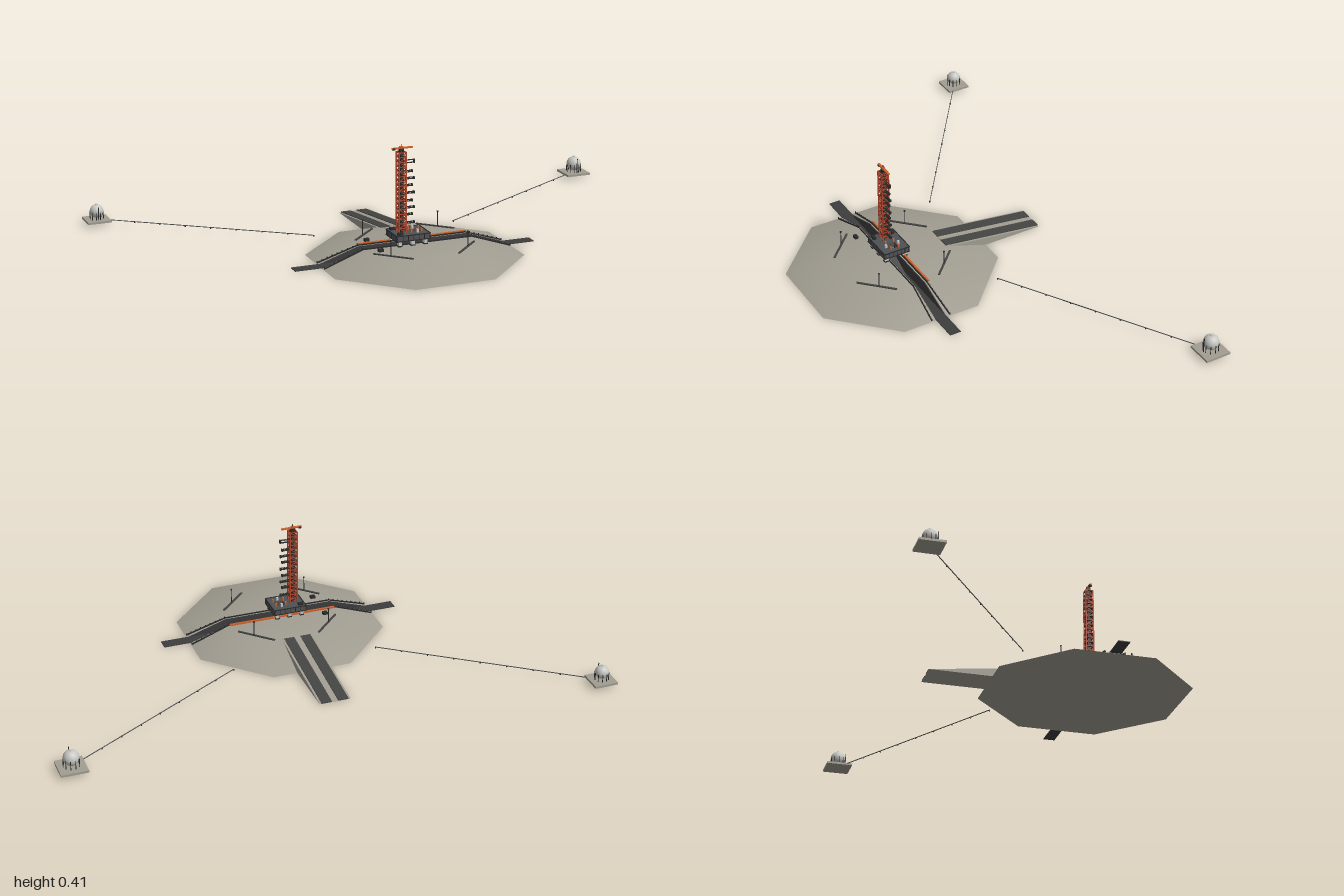
import * as THREE from 'three';
import { ConvexGeometry } from 'three/addons/geometries/ConvexGeometry.js';
import { toCreasedNormals } from 'three/addons/utils/BufferGeometryUtils.js';

const mat = (name, color) => Object.assign(new THREE.MeshStandardMaterial({ color }), { name });
const V = (x, y, z) => new THREE.Vector3(x, y, z);
const points2 = list => list.map(p => new THREE.Vector2(...p));

export function createModel() {
  const concrete = mat('concrete', 0xa19d91);
  const track = mat('dark track', 0x444443);
  const trenchMat = mat('trench grey', 0x3d3d3d);
  const steel = mat('platform steel', 0x4f5254);
  const black = mat('dark steel', 0x2a2a2b);
  const red = mat('tower red', 0xb0452a);
  const orange = mat('crane orange', 0xd0622c);
  const pale = mat('pale grey', 0xc6c6c2);

  const model = new THREE.Group();
  model.name = 'launchPad';
  const group = (name, parent = model) => {
    const g = new THREE.Group();
    g.name = name;
    parent.add(g);
    return g;
  };
  const add = (parent, name, geo, m, x = 0, y = 0, z = 0) => {
    const mesh = new THREE.Mesh(geo, m);
    mesh.name = name;
    mesh.position.set(x, y, z);
    parent.add(mesh);
    return mesh;
  };
  const box = (p, name, m, w, h, d, x, y, z) => add(p, name, new THREE.BoxGeometry(w, h, d), m, x, y, z);
  // square beam running from a to b, oriented in its parent's frame
  const beam = (p, name, m, a, b, w, h = w) => {
    const mesh = new THREE.Mesh(new THREE.BoxGeometry(w, h, a.distanceTo(b)), m);
    mesh.name = name;
    mesh.position.copy(a).add(b).multiplyScalar(0.5);
    mesh.lookAt(b);
    p.add(mesh);
  };

  // Octagonal mound, split by the flame trench; local origin at its centre
  const CX = -0.027, CZ = 0.238, H = 0.05, R = 0.355, RT = 0.205, T = 0.021;
  const pad = group('pad');
  pad.position.set(CX, 0, CZ);
  for (const s of [1, -1]) {
    const pts = [];
    for (const [r, y] of [[R, 0], [RT, H]]) {
      const c = r * 0.414;
      for (const k of [1, -1]) pts.push(V(k * r, y, s * T), V(k * r, y, s * c), V(k * c, y, s * r));
    }
    add(pad, 'moundHalf', toCreasedNormals(new ConvexGeometry(pts), 0.6), concrete);

    // trench lining and flared curbs with railings
    const wall = new THREE.Shape(points2([[-R, 0.001], [R, 0.001], [RT, H], [-RT, H]]));
    add(pad, 'trenchWall', new THREE.ExtrudeGeometry(wall, { depth: 0.003, bevelEnabled: false }), trenchMat,
      0, 0, s > 0 ? T - 0.003 : -T);
    for (const k of [1, -1]) {
      const top = V(k * RT, H + 0.001, s * 0.027), foot = V(k * (R - 0.004), 0.003, s * 0.036);
      beam(pad, 'wingCurb', black, top, foot, 0.004, 0.006);
      for (let i = 0; i <= 8; i++) {
        const q = top.clone().lerp(foot, i / 8);
        box(pad, 'railPost', black, 0.003, 0.007, 0.003, q.x, q.y + 0.003, q.z);
      }
    }
    box(pad, 'edgeCurb', black, 2 * RT, 0.005, 0.003, 0, H + 0.002, s * 0.027);
  }
  box(pad, 'trenchBase', concrete, 2 * R, 0.001, 2 * T, 0, 0.0005, 0);
  box(pad, 'trenchFloor', trenchMat, 0.905, 0.003, 2 * T, 0, 0.0025, 0);
  box(pad, 'servicePipe', orange, 0.41, 0.006, 0.007, 0, H + 0.004, -0.033);
  // flame deflector wedge in the trench
  const wedge = new THREE.Shape(points2([[-0.09, 0], [0.09, 0], [0.006, 0.04], [-0.006, 0.04]]));
  add(pad, 'flameDeflector', new THREE.ExtrudeGeometry(wedge, { depth: 0.024, bevelEnabled: false }), trenchMat, -0.003, 0.003, -0.012);

  // diagonal drains and light masts
  for (const sx of [1, -1]) for (const sz of [1, -1]) {
    const drain = box(pad, 'drain', track, 0.148, 0.004, 0.007, sx * 0.137, H + 0.002, sz * 0.137);
    drain.rotation.y = sx * sz * Math.PI / 4;
    add(pad, 'lightMast', new THREE.CylinderGeometry(0.0015, 0.002, 0.058, 6), black, sx * 0.144, H + 0.029, sz * 0.131);
    box(pad, 'mastLamp', black, 0.005, 0.004, 0.006, sx * 0.144, H + 0.057, sz * 0.131);
  }
  for (const s of [1, -1]) box(pad, 'equipmentBox', black, 0.018, 0.01, 0.014, -0.155, H + 0.005, s * 0.066);

  // Vehicle ramp with two dark tracks
  const ramp = group('ramp');
  const z0 = 0.045, z1 = -0.345, rx = -0.027;
  const rp = [];
  for (const x of [rx - 0.058, rx + 0.058]) rp.push(V(x, H + 0.001, z0), V(x, 0, z0), V(x, 0, z1));
  add(ramp, 'rampBody', new ConvexGeometry(rp), concrete);
  for (const s of [1, -1]) {
    const x = rx + s * 0.031;
    beam(ramp, 'rampTrack', track, V(x, H + 0.0015, z0), V(x, 0.0015, z1), 0.038, 0.003);
  }

  // Launch platform on legs, with an exhaust opening
  const platform = group('launchPlatform');
  platform.position.set(-0.052, 0, 0.238);
  const deck = new THREE.Shape(points2([[-0.062, -0.05], [0.062, -0.05], [0.062, 0.05], [-0.062, 0.05]]));
  deck.holes.push(new THREE.Path(points2([[0.008, -0.017], [0.008, 0.017], [0.042, 0.017], [0.042, -0.017]])));
  const deckGeo = new THREE.ExtrudeGeometry(deck, { depth: 0.02, bevelEnabled: false });
  deckGeo.rotateX(-Math.PI / 2);
  add(platform, 'deck', deckGeo, steel, 0, 0.07, 0);
  for (const s of [1, -1]) {
    for (const y of [0.071, 0.0905]) {
      box(platform, 'deckTrim', black, 0.126, 0.003, 0.003, 0, y, s * 0.0505);
      box(platform, 'deckTrim', black, 0.003, 0.003, 0.104, s * 0.0625, y, 0);
    }
    for (let i = 0; i < 7; i++) {
      box(platform, 'deckRib', black, 0.002, 0.02, 0.002, -0.06 + i * 0.02, 0.08, s * 0.0505);
      box(platform, 'deckRib', black, 0.002, 0.02, 0.002, s * 0.0625, 0.08, -0.048 + i * 0.016);
    }
    for (const x of [-0.048, 0, 0.048]) {
      box(platform, 'platformLeg', pale, 0.012, 0.022, 0.016, x, 0.06, s * 0.037);
      box(platform, 'legFoot', black, 0.016, 0.004, 0.018, x, 0.052, s * 0.037);
    }
    for (const x of [0.006, 0.044]) box(platform, 'holdDownPost', orange, 0.006, 0.012, 0.006, x, 0.096, s * 0.016);
    box(platform, 'deckHut', black, 0.02, 0.009, 0.012, -0.045, 0.094, s * 0.036);
    box(platform, 'serviceMast', pale, 0.008, 0.012, 0.008, 0.025, 0.096, s * 0.025);
  }

  // Lattice tower
  const tower = group('umbilicalTower');
  tower.position.set(-0.079, 0, 0.24);
  const base = 0.09, levels = 17, step = 0.017, a = 0.0135, topY = base + levels * step;
  const corners = [[a, a], [-a, a], [-a, -a], [a, -a]];
  box(tower, 'liftShaft', black, 0.012, topY - base, 0.012, 0, (base + topY) / 2, 0);
  corners.forEach(([x, z], i) => {
    const [nx, nz] = corners[(i + 1) % 4];
    box(tower, 'column', red, 0.004, topY - base, 0.004, x, (base + topY) / 2, z);
    for (let l = 0; l < levels; l++) {
      const y = base + l * step;
      const flip = l % 2;
      beam(tower, 'brace', red, V(x, y + flip * step, z), V(nx, y + (1 - flip) * step, nz), 0.002);
      beam(tower, 'girder', red, V(x, y + step, z), V(nx, y + step, nz), 0.0026);
    }
  });
  for (let l = 1; l <= levels; l++) box(tower, 'floor', black, 0.029, 0.0015, 0.029, 0, base + l * step, 0);

  // swing arms reaching toward the vehicle position
  [0.12, 0.15, 0.175, 0.2, 0.228, 0.255, 0.28, 0.305, 0.338].forEach((y, i) => {
    const len = i % 2 ? 0.027 : 0.034, h = i === 8 ? 0.01 : 0.005;
    for (const s of [1, -1]) {
      box(tower, 'swingArmRail', black, len, 0.002, 0.0015, a + len / 2, y, s * 0.003);
      box(tower, 'swingArmRail', black, len, 0.002, 0.0015, a + len / 2, y + h, s * 0.003);
    }
    box(tower, 'swingArmWalkway', black, len, 0.001, 0.006, a + len / 2, y, 0);
    box(tower, 'swingArmHead', black, 0.004, h + 0.004, 0.009, a + len, y + h / 2, 0);
  });

  // hammerhead crane on the tower top
  box(tower, 'craneBase', black, 0.014, 0.012, 0.014, 0, topY + 0.006, 0);
  box(tower, 'craneJib', orange, 0.076, 0.005, 0.008, 0.004, topY + 0.014, 0);
  box(tower, 'craneCounterweight', black, 0.01, 0.007, 0.01, -0.028, topY + 0.012, 0);
  box(tower, 'craneCab', orange, 0.012, 0.007, 0.011, 0, topY + 0.016, 0);
  box(tower, 'lightningRod', black, 0.002, 0.012, 0.002, 0, topY + 0.022, 0);

  // Storage tanks and their supply lines to the pad
  const tank = (name, x, z, size, r, pipeFrom, pipeTo) => {
    const g = group(name);
    const cy = 0.024 + r;
    box(g, 'tankSlab', concrete, size, 0.008, size, x, 0.016, z);
    add(g, 'sphere', new THREE.SphereGeometry(r, 24, 16), pale, x, cy, z);
    add(g, 'topHatch', new THREE.CylinderGeometry(0.005, 0.006, 0.005, 10), pale, x, cy + r, z);
    for (let i = 0; i < 10; i++) {
      const t = i / 10 * Math.PI * 2;
      add(g, 'tankLeg', new THREE.CylinderGeometry(0.0014, 0.0014, cy - 0.02, 6), black,
        x + Math.cos(t) * r, (cy + 0.02) / 2, z + Math.sin(t) * r);
    }
    box(g, 'tankLadder', black, 0.003, 2 * r, 0.002, x, 0.02 + r, z + r + 0.002);
    beam(g, 'supplyPipe', steel, pipeFrom, pipeTo, 0.0024);
    for (let i = 0; i <= 8; i++) {
      const q = pipeFrom.clone().lerp(pipeTo, i / 8);
      box(g, 'pipeSupport', black, 0.004, 0.005, 0.004, q.x, q.y - 0.002, q.z);
    }
  };
  tank('leftTank', 0.952, -0.46, 0.096, 0.028, V(0.91, 0.018, -0.435), V(0.245, 0.016, -0.04));
  tank('rightTank', -0.956, -0.552, 0.088, 0.025, V(-0.915, 0.018, -0.525), V(-0.29, 0.016, -0.065));

  return model;
}
